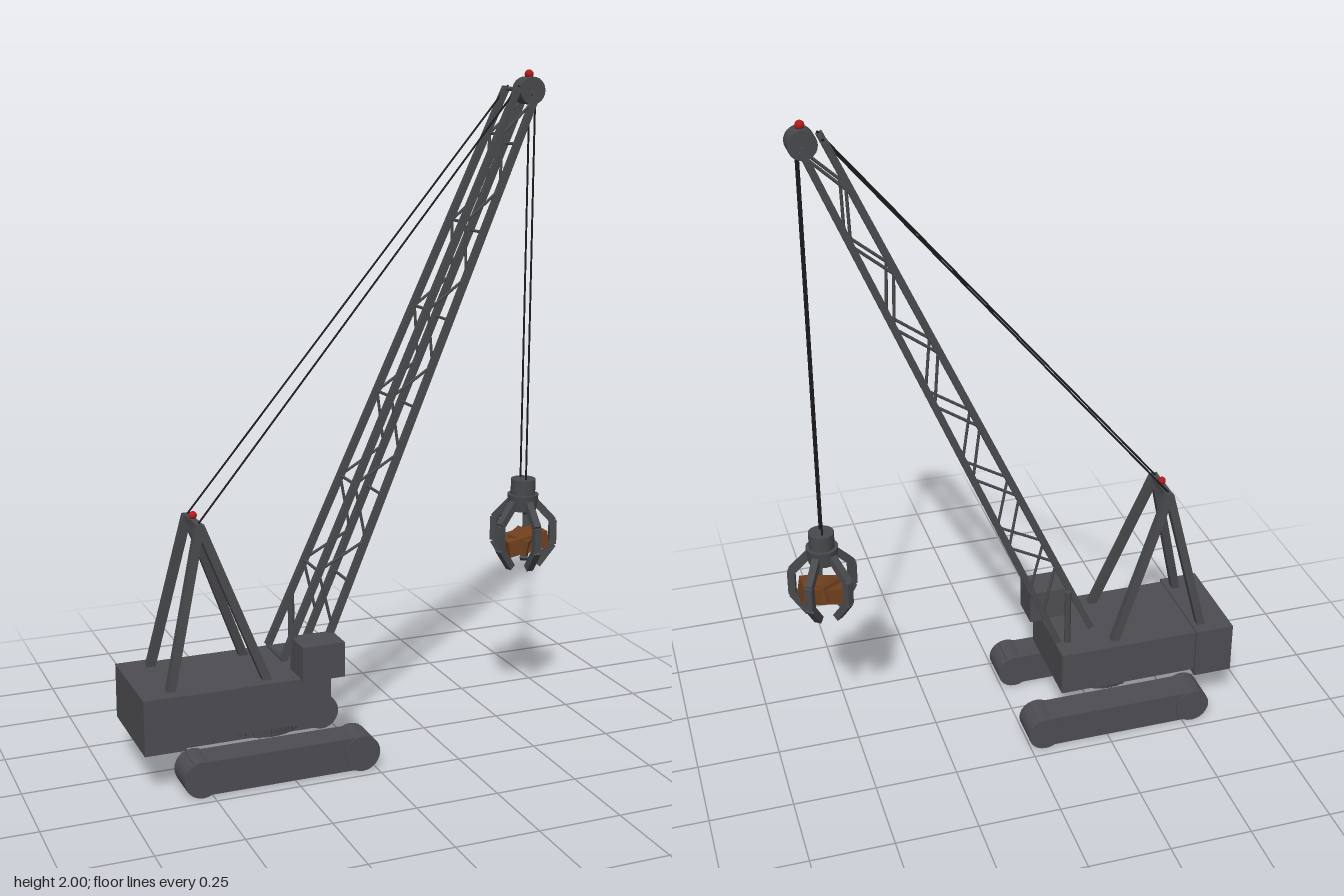
import * as THREE from 'three';

const mat = (name, color, extra) => Object.assign(new THREE.MeshStandardMaterial({ color }), { name });
const V = (x, y, z) => new THREE.Vector3(x, y, z);

export function createModel() {
  const crane = new THREE.Group();
  crane.name = 'crawlerCrane';
  const paint = mat('charcoalPaint', 0x4d4d52);
  const steel = mat('darkSteel', 0x48494c);
  const rope = mat('blackRope', 0x1c1c1e);
  const red = mat('lampRed', 0xb01a1a);
  const rust = mat('rustyLoad', 0x70401f);

  const add = (parent, name, geo, material, x = 0, y = 0, z = 0) => {
    const m = new THREE.Mesh(geo, material);
    m.name = name;
    m.position.set(x, y, z);
    parent.add(m);
    return m;
  };
  // box given by its limits
  const block = (parent, name, material, x0, x1, y0, y1, z0, z1) =>
    add(parent, name, new THREE.BoxGeometry(x1 - x0, y1 - y0, z1 - z0), material,
      (x0 + x1) / 2, (y0 + y1) / 2, (z0 + z1) / 2);
  const group = (name) => {
    const g = new THREE.Group();
    g.name = name;
    crane.add(g);
    return g;
  };
  // straight bar between two points, square or round
  const bar = (parent, name, material, a, b, width, round = false) => {
    const len = a.distanceTo(b);
    const geo = round ? new THREE.CylinderGeometry(width / 2, width / 2, len, 8)
      : new THREE.BoxGeometry(width, len, width);
    const m = add(parent, name, geo, material);
    m.position.copy(a).add(b).multiplyScalar(0.5);
    m.quaternion.setFromUnitVectors(V(0, 1, 0), b.clone().sub(a).normalize());
    return m;
  };
  const disc = (r, w, sides = 24) => new THREE.CylinderGeometry(r, r, w, sides).rotateX(Math.PI / 2);

  // crawler tracks with end wheels
  for (const s of [1, -1]) {
    const track = group(s > 0 ? 'frontTrack' : 'backTrack');
    add(track, 'trackBelt', new THREE.BoxGeometry(0.535, 0.1, 0.096), paint, -0.287, 0.056, s * 0.167);
    for (const x of [-0.53, -0.045])
      add(track, 'trackWheel', disc(0.054, 0.106), paint, x, 0.056, s * 0.167);
  }

  // slewing ring with teeth
  const ring = group('slewingRing');
  add(ring, 'ringDrum', new THREE.CylinderGeometry(0.118, 0.118, 0.04, 32), steel, -0.287, 0.127, 0);
  for (let i = 0; i < 36; i++) {
    const a = (i / 36) * Math.PI * 2;
    const tooth = add(ring, 'ringTooth', new THREE.BoxGeometry(0.014, 0.028, 0.01), steel,
      -0.287 + Math.cos(a) * 0.119, 0.127, Math.sin(a) * 0.119);
    tooth.rotation.y = -a;
  }

  // upper works
  const house = group('house');
  block(house, 'machineryHouse', paint, -0.56, -0.118, 0.145, 0.285, -0.15, 0.15);
  block(house, 'counterweight', paint, -0.68, -0.558, 0.125, 0.29, -0.158, 0.158);
  block(house, 'cab', paint, -0.21, -0.08, 0.28, 0.385, 0.06, 0.165);
  add(house, 'exhaustPipe', new THREE.CylinderGeometry(0.01, 0.01, 0.19, 12), steel, -0.157, 0.375, -0.078);

  // A-frame gantry
  const gantry = group('gantry');
  for (const s of [1, -1]) {
    const top = V(-0.48, 0.75, s * 0.062);
    bar(gantry, 'rearLeg', steel, V(-0.59, 0.28, s * 0.108), top, 0.025);
    bar(gantry, 'frontLeg', steel, V(-0.3, 0.28, s * 0.108), top, 0.025);
  }
  bar(gantry, 'crossbar', steel, V(-0.48, 0.745, -0.07), V(-0.48, 0.745, 0.07), 0.02);
  add(gantry, 'gantryLamp', new THREE.SphereGeometry(0.012, 16, 12), red, -0.48, 0.765, 0);

  // lattice boom, tapering toward the tip
  const boom = group('boom');
  const half = (y) => 0.068 - ((y - 0.3) / 1.65) * 0.031;
  const at = (x, y, s) => V(x, y, s * half(y));
  const lower = (y) => -0.13 + ((y - 0.285) / 1.625) * 0.692;
  for (const s of [1, -1]) {
    bar(boom, 'upperChord', steel, at(-0.235, 0.32, s), at(0.51, 1.95, s), 0.019);
    bar(boom, 'lowerChord', steel, at(lower(0.285), 0.285, s), at(lower(1.93), 1.93, s), 0.019);
    for (let i = 0; i < 6; i++) {
      const up = at(-0.122 + 0.1165 * i, 0.574 + 0.2486 * i, s);
      const y0 = 0.4 + 0.252 * i, y1 = y0 + 0.252;
      bar(boom, 'brace', steel, at(lower(y0), y0, s), up, 0.009, true);
      bar(boom, 'brace', steel, up, at(lower(y1), y1, s), 0.009, true);
    }
  }
  for (let i = 0; i < 6; i++) {
    const x = -0.122 + 0.1165 * i, y = 0.574 + 0.2486 * i, yl = y - 0.044 + 0.003 * i;
    bar(boom, 'upperTie', steel, at(x, y, -1), at(x, y, 1), 0.009, true);
    bar(boom, 'lowerTie', steel, at(lower(yl), yl, -1), at(lower(yl), yl, 1), 0.009, true);
  }
  bar(boom, 'footTie', steel, at(-0.235, 0.318, -1), at(-0.235, 0.318, 1), 0.012, true);
  bar(boom, 'headTie', steel, at(0.51, 1.945, -1), at(0.51, 1.945, 1), 0.012, true);
  add(boom, 'sheave', disc(0.04, 0.056), steel, 0.565, 1.94, 0);
  bar(boom, 'sheaveAxle', steel, V(0.565, 1.93, -0.042), V(0.565, 1.93, 0.042), 0.018, true);
  add(boom, 'tipLamp', new THREE.SphereGeometry(0.013, 16, 12), red, 0.565, 1.987, 0);

  // ropes
  const ropes = group('ropes');
  for (const s of [1, -1]) {
    bar(ropes, 'pendantRope', rope, V(-0.48, 0.755, s * 0.055), V(0.515, 1.955, s * 0.034), 0.006, true);
    bar(ropes, 'hoistRope', rope, V(0.577, 1.94, s * 0.018), V(0.577, 0.76, s * 0.018), 0.006, true);
  }

  // orange-peel grab with five jointed tines
  const grab = group('grab');
  grab.position.set(0.577, 0, 0);
  add(grab, 'grabHead', new THREE.CylinderGeometry(0.038, 0.038, 0.05, 20), steel, 0, 0.745, 0);
  add(grab, 'grabHub', new THREE.CylinderGeometry(0.048, 0.042, 0.05, 20), steel, 0, 0.697, 0);
  const profile = [[0.035, 0.7], [0.095, 0.635], [0.095, 0.56], [0.048, 0.495]];
  for (let k = 0; k < 5; k++) {
    const tine = new THREE.Group();
    tine.name = 'tine';
    tine.rotation.y = -Math.PI / 2 - (k * Math.PI * 2) / 5;
    grab.add(tine);
    for (let i = 0; i < 3; i++)
      bar(tine, 'tineSegment', steel, V(...profile[i], 0), V(...profile[i + 1], 0), 0.022);
  }

  // scrap held in the grab
  const scrap = add(grab, 'scrapBlock', new THREE.BoxGeometry(0.135, 0.05, 0.085), rust, 0.003, 0.57, 0);
  scrap.rotation.z = 0.17;
  const chunk = add(grab, 'scrapChunk', new THREE.BoxGeometry(0.08, 0.05, 0.07), rust, 0, 0.57, 0);
  chunk.rotation.set(0.3, 0.7, -0.1);

  return crane;
}
